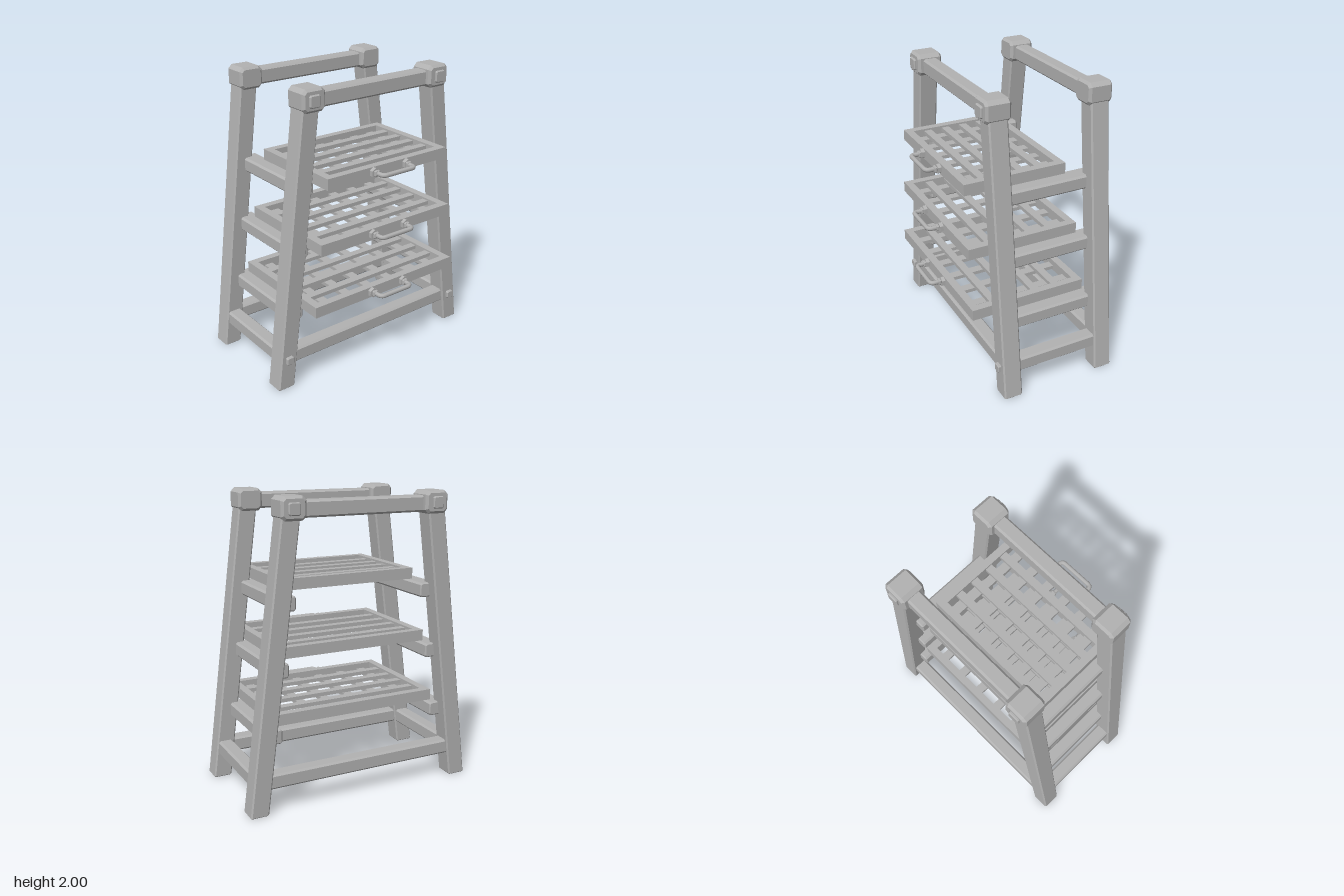
import * as THREE from 'three';

const grey = new THREE.MeshStandardMaterial({ color: 0xb2b2b2 });
grey.name = 'plain grey';

// Box with all edges chamfered, centred on the origin, long axis along z
function chamferBox(w, h, d, c = 0.008) {
  const x = w / 2 - c, y = h / 2 - c;
  const s = new THREE.Shape([
    [-x + c, -y], [x - c, -y], [x, -y + c], [x, y - c],
    [x - c, y], [-x + c, y], [-x, y - c], [-x, -y + c],
  ].map(([a, b]) => new THREE.Vector2(a, b)));
  const g = new THREE.ExtrudeGeometry(s, {
    depth: d - 2 * c, bevelEnabled: true, bevelSegments: 1, bevelSize: c, bevelThickness: c, steps: 1,
  });
  return g.translate(0, 0, c - d / 2);
}

function add(parent, name, geometry, x, y, z) {
  const m = new THREE.Mesh(geometry, grey);
  m.name = name;
  m.position.set(x, y, z);
  parent.add(m);
  return m;
}

const LEG_Z = [0.25, -0.45];
const MID_Z = -0.1;
const LEAN = 0.1263;

// Leg leaning inwards, cut level at foot and top
function legGeometry(side) {
  const h = 1.93;
  const g = chamferBox(0.125, 0.13, h, 0.006).rotateX(-Math.PI / 2).translate(0, h / 2, 0);
  const p = g.attributes.position;
  for (let i = 0; i < p.count; i++) p.setX(i, p.getX(i) + side * (0.751 - LEAN * p.getY(i)));
  g.computeVertexNormals();
  return g;
}

// U-shaped pull handle with hexagonal mounts
function makeHandle() {
  const handle = new THREE.Group();
  handle.name = 'handle';
  const V = (x, z) => new THREE.Vector3(x, 0, z);
  const path = new THREE.CurvePath();
  path.add(new THREE.LineCurve3(V(-0.13, 0), V(-0.13, 0.065)));
  path.add(new THREE.QuadraticBezierCurve3(V(-0.13, 0.065), V(-0.13, 0.094), V(-0.1, 0.094)));
  path.add(new THREE.LineCurve3(V(-0.1, 0.094), V(0.1, 0.094)));
  path.add(new THREE.QuadraticBezierCurve3(V(0.1, 0.094), V(0.13, 0.094), V(0.13, 0.065)));
  path.add(new THREE.LineCurve3(V(0.13, 0.065), V(0.13, 0)));
  add(handle, 'handleGrip', new THREE.TubeGeometry(path, 40, 0.016, 8), 0, 0, 0);
  for (const s of [-1, 1]) {
    const mount = new THREE.CylinderGeometry(0.034, 0.034, 0.026, 6).toNonIndexed();
    mount.rotateX(Math.PI / 2).computeVertexNormals();
    add(handle, 'handleMount', mount, s * 0.135, 0, 0.012);
    add(handle, 'handleCollar', chamferBox(0.04, 0.04, 0.02, 0.004), s * 0.131, 0, 0.032);
  }
  return handle;
}

// Slatted tray: rim, lengthwise slats, cross bars beneath, and a handle
function makeShelf(halfW, back, y) {
  const shelf = new THREE.Group();
  shelf.name = 'shelf';
  const front = 0.44, rim = 0.053, h = 0.075;
  const depth = front - back, cz = (front + back) / 2;
  for (const s of [-1, 1]) {
    add(shelf, 'sideRim', new THREE.BoxGeometry(rim, h, depth), s * (halfW - rim / 2), y, cz);
    add(shelf, 'endRim', new THREE.BoxGeometry(2 * (halfW - rim), h, rim), 0, y,
      cz + s * (depth - rim) / 2);
  }
  const inner = depth - 2 * rim, slat = 0.054;
  const pitch = (inner + slat) / 5;
  for (let i = 1; i < 5; i++) {
    add(shelf, 'slat', new THREE.BoxGeometry(2 * (halfW - rim), 0.026, slat), 0, y + 0.012,
      back + rim + i * pitch - slat / 2);
  }
  const barPitch = 0.148 * (halfW - rim) / 0.437;
  for (let i = 0; i < 6; i++) {
    add(shelf, 'crossBar', new THREE.BoxGeometry(0.062, 0.024, inner), (i - 2.5) * barPitch, y - 0.013, cz);
  }
  const handle = makeHandle();
  handle.position.set(0, y + 0.003, front);
  shelf.add(handle);
  return shelf;
}

export function createModel() {
  const model = new THREE.Group();
  model.name = 'slattedShelfStand';

  // Two A-shaped frames
  LEG_Z.forEach((z, i) => {
    const out = i === 0 ? 1 : -1;
    for (const s of [-1, 1]) {
      add(model, 'leg', legGeometry(s), 0, 0, z);
      add(model, 'cap', chamferBox(0.168, 0.147, 0.17, 0.016), s * 0.5, 1.927, z);
      add(model, 'capPeg', chamferBox(0.078, 0.078, 0.04, 0.006), s * 0.503, 1.925, z + out * 0.08);
    }
    add(model, 'topRail', chamferBox(0.1, 0.105, 0.92).rotateY(Math.PI / 2), 0, 1.918, z);
    add(model, 'bottomRail', chamferBox(0.1, 0.1, 1.4).rotateY(Math.PI / 2), 0, 0.215, z);
  });

  // Rails joining front and back frames
  for (const s of [-1, 1]) {
    add(model, 'bottomSideRail', chamferBox(0.1, 0.1, 0.62), s * 0.723, 0.215, MID_Z);
    add(model, 'legBolt', chamferBox(0.054, 0.054, 0.04, 0.005), s * 0.725, 0.215, 0.317);
    for (const [x, y] of [[0.514, 1.34], [0.567, 0.917], [0.618, 0.488]]) {
      add(model, 'shelfSupport', chamferBox(0.122, 0.097, 0.68), s * x, y, MID_Z);
    }
  }

  // Three sliding shelves, wider and deeper towards the floor
  model.add(makeShelf(0.49, -0.275, 1.428));
  model.add(makeShelf(0.543, -0.345, 1.003));
  model.add(makeShelf(0.593, -0.385, 0.577));
  return model;
}
